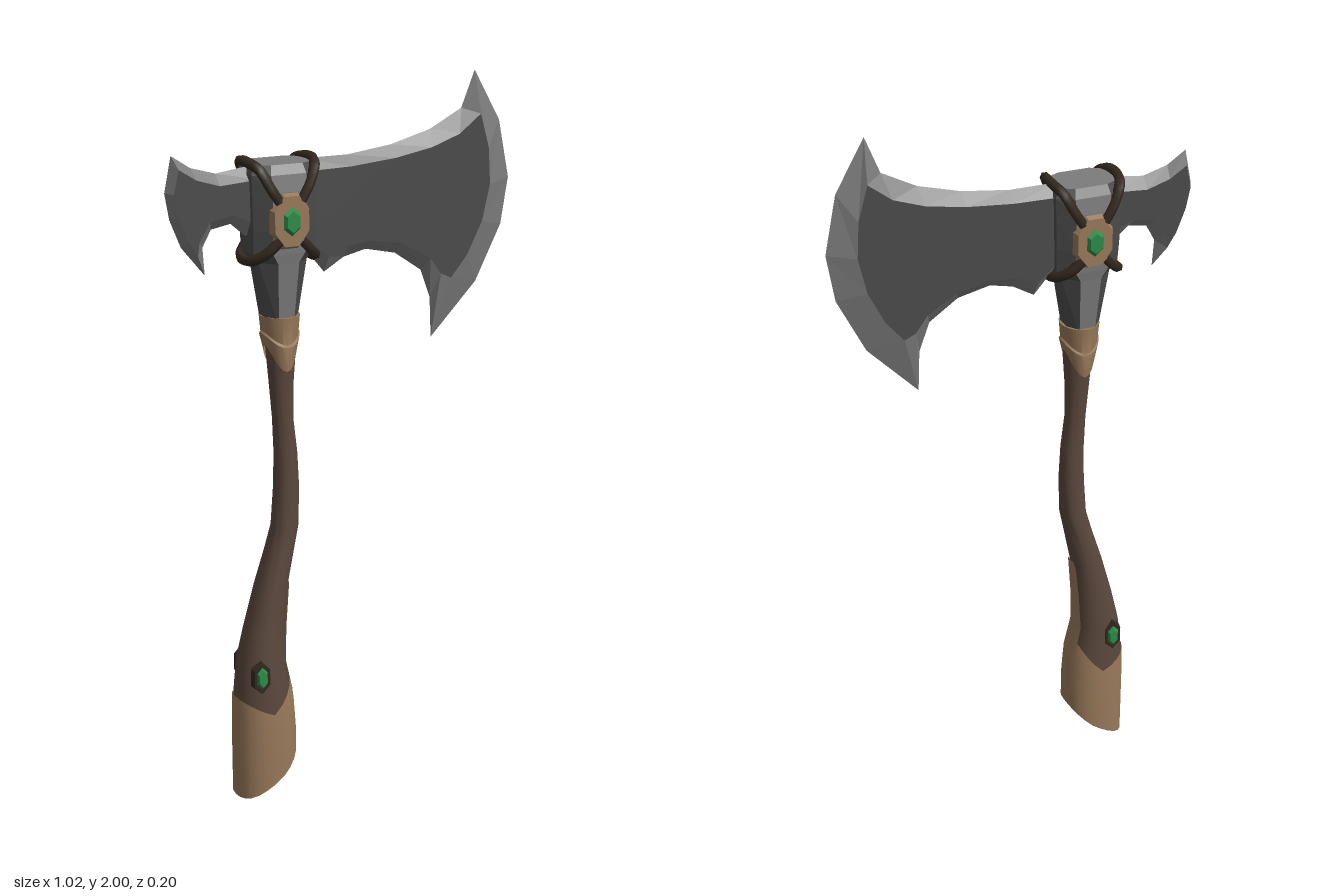
import * as THREE from 'three';
import { toCreasedNormals } from 'three/addons/utils/BufferGeometryUtils.js';

const mat = (name, color, side = THREE.FrontSide) => {
  const m = new THREE.MeshStandardMaterial({ color, side });
  m.name = name;
  return m;
};

// Triangles from a flat list of points; small crease angle gives facets
function fromPoints(points, crease) {
  const g = new THREE.BufferGeometry();
  g.setAttribute('position', new THREE.Float32BufferAttribute(points.flat(), 3));
  return toCreasedNormals(g, crease);
}

// Skin over rings of points that run upwards; each side may have its own material
function loft(rings, { crease = 0.01, closed = true, capTop = false, capBottom = false, sideMat = null } = {}) {
  const n = rings[0].length, out = [], groups = [];
  for (let j = 0; j < (closed ? n : n - 1); j++) {
    const k = (j + 1) % n, start = out.length;
    for (let i = 0; i < rings.length - 1; i++) {
      const a = rings[i][j], b = rings[i][k], c = rings[i + 1][j], d = rings[i + 1][k];
      out.push(a, c, d, a, d, b);
    }
    if (sideMat) groups.push([start, out.length - start, sideMat(j)]);
  }
  const start = out.length;
  const centre = r => [0, 1, 2].map(c => r.reduce((s, p) => s + p[c], 0) / n);
  const cap = (r, up) => {
    const m = centre(r);
    r.forEach((p, j) => out.push(m, ...(up ? [r[(j + 1) % n], p] : [p, r[(j + 1) % n]])));
  };
  if (capTop) cap(rings[rings.length - 1], true);
  if (capBottom) cap(rings[0], false);
  if (sideMat && out.length > start) groups.push([start, out.length - start, 0]);
  const g = fromPoints(out, crease);
  groups.forEach(q => g.addGroup(...q));
  return g;
}

// Handle cross-sections: height, -x edge, +x edge, half depth
const SECTIONS = [
  [0, -0.34, -0.168, 0.076], [0.2, -0.34, -0.168, 0.078], [0.3, -0.338, -0.175, 0.075],
  [0.4, -0.328, -0.197, 0.068], [0.5, -0.305, -0.193, 0.058], [0.62, -0.272, -0.183, 0.05],
  [0.72, -0.24, -0.162, 0.044], [0.79, -0.22, -0.147, 0.04], [0.9, -0.212, -0.143, 0.036],
  [1.0, -0.21, -0.147, 0.032], [1.1, -0.214, -0.158, 0.029], [1.2, -0.222, -0.157, 0.034],
  [1.3, -0.23, -0.15, 0.042], [1.4, -0.23, -0.155, 0.045],
];
function handlePoint(y, angle, grow = 0) {
  let i = 0;
  while (i < SECTIONS.length - 2 && SECTIONS[i + 1][0] < y) i++;
  const a = SECTIONS[i], b = SECTIONS[i + 1], t = (y - a[0]) / (b[0] - a[0]);
  const [x0, x1, hz] = [1, 2, 3].map(k => a[k] + (b[k] - a[k]) * t);
  const round = v => Math.sign(v) * Math.abs(v) ** 0.88;
  return [(x0 + x1) / 2 + ((x1 - x0) / 2 + grow) * round(Math.cos(angle)), y, (hz + grow) * round(Math.sin(angle))];
}
const ANGLES = Array.from({ length: 24 }, (_, j) => j / 24 * Math.PI * 2);

// Knife-edged plate: outer outline at z = 0, inner outline raised on both faces (clockwise)
function bladeParts(name, pairs, half, faceMat, edgeMat) {
  const g = new THREE.Group(), edge = [];
  g.name = name;
  for (let i = 0; i < pairs.length - 1; i++) {
    const [ax, ay, bx, by] = pairs[i], [cx, cy, dx, dy] = pairs[i + 1];
    for (const s of [1, -1]) {
      const o = [ax, ay, 0], n = [bx, by, s * half], p = [cx, cy, 0], m = [dx, dy, s * half];
      edge.push(...(s > 0 ? [o, n, m, o, m, p] : [o, m, n, o, p, m]));
    }
  }
  const bevel = new THREE.Mesh(fromPoints(edge, 0.01), edgeMat);
  bevel.name = name + 'Edge';
  g.add(bevel);
  const inner = pairs.map(p => new THREE.Vector2(p[2], p[3])).reverse();
  const tris = THREE.ShapeUtils.triangulateShape(inner, []), face = [];
  for (const t of tris) {
    const [a, b, c] = t.map(i => inner[i]);
    const ccw = (b.x - a.x) * (c.y - a.y) - (b.y - a.y) * (c.x - a.x) > 0;
    const [p, q, r] = ccw ? [a, b, c] : [a, c, b];
    face.push(...[p, q, r].map(v => [v.x, v.y, half]), ...[p, r, q].map(v => [v.x, v.y, -half]));
  }
  const faces = new THREE.Mesh(fromPoints(face, 0.01), faceMat);
  faces.name = name + 'Faces';
  g.add(faces);
  return g;
}

export function createModel() {
  const model = new THREE.Group();
  model.name = 'battleAxe';
  const iron = mat('darkIron', 0x4b4b4b), steel = mat('brightSteel', 0x7c7c7c);
  const wood = mat('brownWood', 0x5a473c), tan = mat('tanLeather', 0x98795a, THREE.DoubleSide);
  const strapMat = mat('darkStrap', 0x33291f), green = mat('greenGem', 0x2c8c48);
  const add = (name, geo, material, parent = model) => {
    const m = new THREE.Mesh(geo, material);
    m.name = name;
    parent.add(m);
    return m;
  };

  // Curved handle
  const handleRings = SECTIONS.filter(s => s[0] >= 0.2).map(s => ANGLES.map(a => handlePoint(s[0], a)));
  add('handle', loft(handleRings, { crease: 0.6 }), wood);

  // Pommel sleeve with slanted foot and pointed upper rim
  const foot = a => 0.13 * ((1 + Math.cos(a)) / 2) ** 1.5;
  const rim = a => 0.26 + (Math.cos(a) > 0 ? 0.1 : -0.045) * Math.cos(a);
  const sleeve = [0, 0.35, 0.7, 0.85, 1].map(t =>
    ANGLES.map(a => handlePoint(foot(a) + (rim(a) - foot(a)) * t, a, 0.004)));
  add('pommelSleeve', loft(sleeve, { crease: 0.6, capBottom: true }), tan);

  // Leather strip up the blade side of the handle
  const strip = [0.3, 0.35, 0.4, 0.5, 0.6, 0.625].map((y, i) =>
    [-1, -0.5, 0, 0.5, 1].map(k => handlePoint(y, k * (i === 5 ? 0.35 : 0.48), 0.004)));
  add('gripStrip', loft(strip, { crease: 0.6, closed: false }), tan);

  // Collar under the head, pointed at front and back
  const collar = [[0, 0.042, 0.05], [0.45, 0.054, 0.057], [0.5, 0.05, 0.054], [1, 0.054, 0.061]].map(([t, rx, rz]) =>
    ANGLES.map(a => {
      const low = 1.305 - 0.065 * Math.abs(Math.sin(a)) ** 2;
      return [-0.193 + rx * Math.cos(a), low + (1.39 - low) * t, rz * Math.sin(a)];
    }));
  add('collar', loft(collar, { crease: 0.5, capTop: true }), tan);

  // Eight-sided socket: height, half width, half depth, front facet, side facet
  const socket = [
    [1.37, 0.045, 0.05, 0.022, 0.02], [1.54, 0.07, 0.068, 0.03, 0.03], [1.565, 0.088, 0.072, 0.045, 0.04],
    [1.63, 0.09, 0.077, 0.048, 0.045], [1.73, 0.092, 0.077, 0.048, 0.045], [1.775, 0.094, 0.072, 0.05, 0.045],
    [1.8, 0.082, 0.06, 0.045, 0.04],
  ].map(([y, hx, hz, fx, sx]) => [[hx, sx], [fx, hz], [-fx, hz], [-hx, sx], [-hx, -sx], [-fx, -hz], [fx, -hz], [hx, -sx]]
    .map(([x, z]) => [x - 0.195, y, z]));
  add('socket', loft(socket, { capTop: true, sideMat: j => (j === 1 || j === 5 ? 0 : 1) }), [steel, iron]);

  // Main blade and rear hook: outer x, y then inner x, y
  model.add(bladeParts('mainBlade', [
    [-0.13, 1.8, -0.13, 1.77], [0.01, 1.8, 0.01, 1.773], [0.14, 1.817, 0.14, 1.785], [0.26, 1.85, 0.25, 1.805],
    [0.355, 1.9, 0.335, 1.835], [0.395, 2.0, 0.4, 1.885], [0.475, 1.86, 0.427, 1.79], [0.508, 1.7, 0.433, 1.69],
    [0.487, 1.57, 0.41, 1.59], [0.41, 1.415, 0.365, 1.5], [0.27, 1.27, 0.315, 1.44], [0.265, 1.385, 0.283, 1.455],
    [0.235, 1.465, 0.25, 1.5], [0.155, 1.52, 0.165, 1.55], [0.065, 1.54, 0.07, 1.568], [0, 1.525, -0.005, 1.56],
    [-0.06, 1.49, -0.06, 1.535], [-0.13, 1.575, -0.13, 1.6],
  ], 0.03, iron, steel));
  model.add(bladeParts('rearHook', [
    [-0.26, 1.6, -0.26, 1.65], [-0.29, 1.61, -0.29, 1.655], [-0.33, 1.645, -0.335, 1.673], [-0.385, 1.635, -0.4, 1.66],
    [-0.41, 1.59, -0.43, 1.61], [-0.405, 1.515, -0.435, 1.575], [-0.47, 1.595, -0.46, 1.615], [-0.5, 1.67, -0.485, 1.68],
    [-0.512, 1.74, -0.497, 1.74], [-0.492, 1.835, -0.483, 1.803], [-0.44, 1.8, -0.435, 1.772], [-0.37, 1.78, -0.37, 1.752],
    [-0.26, 1.795, -0.26, 1.76],
  ], 0.03, iron, steel));

  // Straps from the plate corners over the top and under the blades
  for (const s of [-1, 1]) {
    const x = d => -0.195 + s * d;
    const paths = {
      upperStrap: [[0.03, 1.705, 0.08], [0.055, 1.745, 0.077], [0.078, 1.79, 0.062], [0.09, 1.803, 0.03]],
      lowerStrap: [[0.03, 1.605, 0.08], [0.06, 1.575, 0.072], [0.088, 1.552, 0.045], [0.094, 1.545, 0.02]],
    };
    for (const [name, half] of Object.entries(paths)) {
      const pts = [...half, ...half.slice().reverse().map(([d, y, z]) => [d, y, -z])]
        .map(([d, y, z]) => new THREE.Vector3(x(d), y, z));
      add(name, new THREE.TubeGeometry(new THREE.CatmullRomCurve3(pts), 28, 0.014, 6), strapMat);
    }
  }

  // Faceted gems and their mounts on both faces
  const facet = (sides, turn, top, w, h, d) => toCreasedNormals(
    new THREE.CylinderGeometry(top, 1, 1, sides).rotateY(turn).rotateX(Math.PI / 2).scale(w, h, d), 0.01);
  for (const s of [1, -1]) {
    const place = (mesh, x, y, z) => {
      mesh.position.set(x, y, s * z);
      if (s < 0) mesh.rotation.y = Math.PI;
    };
    place(add('gemMount', facet(8, Math.PI / 8, 0.85, 0.062, 0.084, 0.024), tan), -0.195, 1.655, 0.079);
    place(add('headGem', facet(6, 0, 0.55, 0.036, 0.052, 0.02), green), -0.195, 1.655, 0.09);
    place(add('handleGemSetting', facet(6, 0, 0.9, 0.03, 0.052, 0.02), strapMat), -0.288, 0.375, 0.062);
    place(add('handleGem', facet(6, 0, 0.55, 0.024, 0.044, 0.02), green), -0.288, 0.375, 0.071);
  }
  return model;
}
